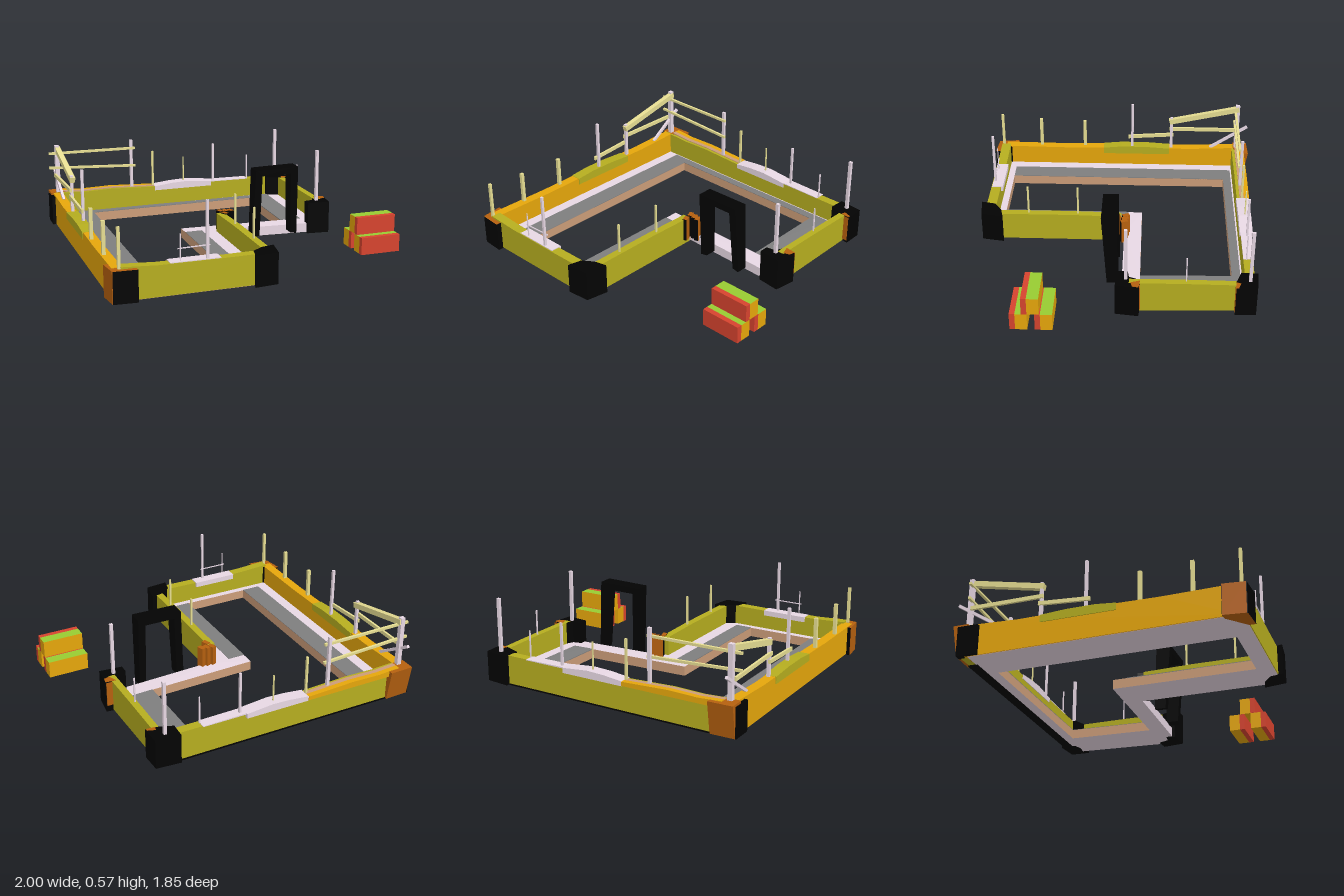
import * as THREE from 'three';

const mat = (name, color) => {
  const m = new THREE.MeshStandardMaterial({ color });
  m.name = name;
  return m;
};

export function createModel() {
  const root = new THREE.Group();
  root.name = 'houseFoundation';
  const olive = mat('olive', 0xb5ad1f), gold = mat('gold', 0xe5a60b), brown = mat('brown', 0xb5600f);
  const black = mat('black', 0x030303), pink = mat('paleStone', 0xe8d8e4), gray = mat('gray', 0x7e7e7e);
  const tan = mat('tan', 0xcb9c78), pale = mat('paleTimber', 0xe6dd92), red = mat('red', 0xd6432e);
  const green = mat('green', 0x97cb31);

  const add = (name, geo, material, parent = root) => {
    const mesh = new THREE.Mesh(geo, material);
    mesh.name = name;
    parent.add(mesh);
    return mesh;
  };
  // Box from its minimum and maximum corners
  const box = (name, m, x0, x1, y0, y1, z0, z1, parent = root) => {
    const g = new THREE.BoxGeometry(x1 - x0, y1 - y0, z1 - z0);
    g.translate((x0 + x1) / 2, (y0 + y1) / 2, (z0 + z1) / 2);
    return add(name, g, m, parent);
  };
  const shapeOf = pts => new THREE.Shape(pts.map(p => new THREE.Vector2(...p)));
  // Upright prism on a plan outline of [x, z] points
  const prism = (name, m, plan, y0, y1, hole) => {
    const flip = pts => pts.map(([x, z]) => [x, -z]);
    const s = shapeOf(flip(plan));
    if (hole) s.holes.push(shapeOf(flip(hole)));
    const g = new THREE.ExtrudeGeometry(s, { depth: y1 - y0, bevelEnabled: false });
    g.rotateX(-Math.PI / 2).translate(0, y0, 0);
    return add(name, g, m);
  };
  // Wall along x with an uneven top edge
  const wallX = (name, m, z0, z1, bottom, top) => {
    const s = shapeOf([[top[0][0], bottom], [top.at(-1)[0], bottom], ...[...top].reverse()]);
    return add(name, new THREE.ExtrudeGeometry(s, { depth: z1 - z0, bevelEnabled: false }).translate(0, 0, z0), m);
  };
  // Wall along z with an uneven top edge
  const wallZ = (name, m, x0, x1, bottom, top) => {
    const pts = top.map(([z, y]) => [-z, y]);
    const s = shapeOf([[pts[0][0], bottom], [pts.at(-1)[0], bottom], ...pts.reverse()]);
    const g = new THREE.ExtrudeGeometry(s, { depth: x1 - x0, bevelEnabled: false });
    return add(name, g.rotateY(Math.PI / 2).translate(x0, 0, 0), m);
  };
  // Square-section beam between two points
  const beam = (name, m, a, b, w, h = w) => {
    const A = new THREE.Vector3(...a), B = new THREE.Vector3(...b);
    const mesh = add(name, new THREE.BoxGeometry(w, h, A.distanceTo(B)), m);
    mesh.position.copy(A).add(B).multiplyScalar(0.5);
    mesh.lookAt(B);
    return mesh;
  };
  // Move every vertex of a part by a rule
  const bend = (mesh, rule) => {
    const p = mesh.geometry.attributes.position;
    for (let i = 0; i < p.count; i++) p.setXYZ(i, ...rule(p.getX(i), p.getY(i), p.getZ(i)));
    mesh.geometry.computeVertexNormals();
  };
  // The left-hand wing sags towards its front corner
  const clamp = THREE.MathUtils.clamp;
  const sag = mesh => bend(mesh, (x, y, z) =>
    [x, y > 0.15 ? y : y - 0.022 * clamp(x / 0.7, 0, 1) * clamp((z + 0.85) / 0.8, 0, 1), z]);

  // Footing ring
  sag(prism('footing', [pink, tan],
    [[-0.965, -0.82], [0.76, -0.82], [0.76, -0.055], [0.015, -0.055], [0.015, 0.88], [-0.965, 0.88]], 0.027, 0.09,
    [[-0.7, 0.775], [-0.235, 0.775], [-0.235, -0.165], [0.49, -0.165], [0.49, -0.745], [-0.7, -0.745]]));
  sag(box('footingFront', pink, 0, 0.76, 0.027, 0.09, -0.056, -0.05));
  for (const [x0, x1, z0, z1] of [[-0.83, -0.7, -0.8, 0.775], [0.49, 0.64, -0.8, -0.165],
    [-0.235, -0.12, -0.07, 0.775], [-0.7, 0.49, -0.8, -0.745]]) {
    sag(box('footingLedge', gray, x0, x1, 0.088, 0.093, z0, z1));
  }

  // Walls
  wallX('frontWall', olive, 0.82, 0.885, 0.03, [[-0.92, 0.235], [-0.7, 0.222], [-0.3, 0.22], [-0.05, 0.222]]);
  wallX('backWall', olive, -0.87, -0.81, 0.03,
    [[-0.95, 0.24], [-0.75, 0.23], [-0.55, 0.235], [-0.23, 0.222], [0, 0.235], [0.22, 0.222], [0.49, 0.22], [0.7, 0.22]]);
  box('backWallBase', black, -0.85, 0.66, 0.024, 0.032, -0.875, -0.81);
  wallX('backTopOuter', gold, -0.895, -0.86, 0.2, [[-0.9, 0.245], [-0.75, 0.235], [-0.55, 0.24], [-0.23, 0.226]]);
  wallX('backTopInner', tan, -0.86, -0.83, 0.2, [[-0.9, 0.245], [-0.75, 0.235], [-0.55, 0.24], [-0.23, 0.226]]);
  wallX('backTopStone', pink, -0.89, -0.805, 0.195, [[-0.23, 0.226], [-0.1, 0.24], [0.02, 0.245], [0.2, 0.228]]);
  wallX('backTopSlab', pink, -0.88, -0.81, 0.219, [[0.2, 0.228], [0.49, 0.224]]);
  wallZ('rightSideWall', gold, -0.97, -0.905, 0.03, [[-0.84, 0.24], [-0.5, 0.225], [-0.1, 0.228], [0.4, 0.22], [0.85, 0.225]]);
  wallZ('rightSideTop', olive, -0.975, -0.9, 0.18, [[-0.35, 0.227], [-0.18, 0.238], [0, 0.238], [0.13, 0.226]]);
  wallZ('innerLegWall', olive, -0.03, 0.02, 0.03, [[-0.03, 0.215], [0.3, 0.222], [0.84, 0.22]]);
  sag(wallZ('leftSideWall', olive, 0.72, 0.765, 0.03, [[-0.8, 0.22], [-0.45, 0.222], [-0.1, 0.22]]));
  box('frontSill', pink, -0.63, -0.32, 0.19, 0.226, 0.805, 0.88);

  // Corner blocks
  prism('frontRightCorner', [brown, black],
    [[-0.994, 0.765], [-0.95, 0.77], [-0.83, 0.88], [-0.83, 0.92], [-0.976, 0.91]], 0.025, 0.222);
  beam('frontRightCornerFace', brown, [-0.995, 0.124, 0.768], [-0.978, 0.124, 0.905], 0.004, 0.198);
  const lean = prism('backRightCorner', brown,
    [[-0.985, -0.92], [-0.825, -0.925], [-0.83, -0.86], [-0.9, -0.82], [-0.985, -0.82]], 0.03, 0.24);
  bend(lean, (x, y, z) => [x, y, z < -0.9 && y < 0.1 ? z + 0.035 : z]);
  box('backRightCornerFace', black, -0.992, -0.945, 0.03, 0.225, -0.885, -0.75);
  prism('frontLegCorner', black, [[-0.12, 0.92], [0.03, 0.905], [0.055, 0.76], [-0.03, 0.78], [-0.1, 0.83]], 0.025, 0.225);
  prism('backLeftCorner', black, [[0.64, -0.895], [0.8, -0.88], [0.805, -0.75], [0.73, -0.755], [0.635, -0.79]], 0.025, 0.222);
  box('backLeftQuoin', brown, 0.735, 0.8, 0.04, 0.215, -0.752, -0.748);
  prism('backLeftQuoinTop', brown, [[0.75, -0.782], [0.8, -0.765], [0.8, -0.75], [0.74, -0.754]], 0.22, 0.225);
  prism('wingCorner', black, [[0.64, -0.03], [0.79, -0.015], [0.81, -0.16], [0.73, -0.17], [0.7, -0.1], [0.64, -0.09]], 0.003, 0.22);
  box('wingQuoin', brown, 0.735, 0.805, 0.05, 0.215, -0.17, -0.164);
  prism('wingQuoinTop', brown, [[0.74, -0.168], [0.808, -0.16], [0.8, -0.12], [0.76, -0.11]], 0.218, 0.223);
  // Quoins beside the doorway, dark towards the front
  for (const [x, z] of [[0.005, -0.06], [0.042, -0.056], [0.076, -0.05], [0.018, 0]]) {
    const q = box('doorwayQuoin', [brown, black, brown, black, black, brown], -0.015, 0.015, 0.06, 0.222, -0.024, 0.024);
    q.position.set(x, 0, z);
    q.rotation.y = 0.35;
  }

  // Doorway frame, leaning forward and thicker at the top
  const arch = shapeOf([[0.2, 0.04], [0.25, 0.05], [0.257, 0.468], [0.46, 0.47], [0.475, 0.05], [0.52, 0.04],
    [0.51, 0.515], [0.21, 0.51]]);
  const door = add('doorFrame', new THREE.ExtrudeGeometry(arch, { depth: 1, bevelEnabled: false }), black);
  bend(door, (x, y, z) => [x, y, z > 0.5 ? 0.043 + 0.072 * y : -0.03 + 0.02 * y]);

  // Posts: x, z, top, width, material
  const posts = [[-0.93, -0.84, 0.575, 0.03, pink], [-0.395, -0.84, 0.575, 0.02, pink], [0.72, -0.84, 0.575, 0.02, pink],
    [0.72, -0.08, 0.575, 0.02, pink], [-0.4, 0.865, 0.575, 0.016, pink], [-0.92, -0.08, 0.575, 0.018, pink],
    [-0.93, -0.365, 0.47, 0.02, pink], [-0.235, -0.845, 0.48, 0.014, pale], [0, -0.85, 0.42, 0.008, pale],
    [0.23, -0.85, 0.5, 0.014, pink], [0.49, -0.83, 0.4, 0.008, pink], [0.735, -0.45, 0.39, 0.008, pink],
    [-0.93, 0.87, 0.47, 0.018, pale], [-0.95, 0.59, 0.43, 0.022, pale], [-0.95, 0.27, 0.42, 0.022, pale],
    [-0.005, 0.59, 0.42, 0.012, pale], [-0.005, 0.26, 0.42, 0.012, pale], [-0.565, 0.865, 0.39, 0.006, pink]];
  for (const [x, z, top, w, m] of posts) box('post', m, x - w / 2, x + w / 2, 0.1, top, z - w / 2, z + w / 2);

  // Fence rails
  beam('backTopRail', pale, [-0.99, 0.522, -0.825], [-0.37, 0.518, -0.825], 0.016);
  beam('backLowRail', pale, [-0.99, 0.42, -0.825], [-0.37, 0.39, -0.825], 0.016);
  beam('sideTopRail', pale, [-0.925, 0.55, -0.85], [-0.925, 0.44, -0.35], 0.035, 0.036);
  beam('sideMiddleRail', pale, [-0.95, 0.365, -0.83], [-0.94, 0.372, -0.35], 0.015, 0.025);
  beam('sideLowRail', pale, [-0.94, 0.325, -0.38], [-0.93, 0.308, -0.05], 0.015, 0.025);
  beam('sideBrace', pink, [-0.94, 0.4, -0.915], [-0.93, 0.23, -0.65], 0.018);
  beam('sillStick', pink, [-0.58, 0.3, 0.86], [-0.38, 0.302, 0.855], 0.006);

  // Stacked crates: red front panel, gold body, green top
  for (const [y, z] of [[0.033, 0.5], [0.033, 0.348], [0.147, 0.427]]) {
    const crate = new THREE.Group();
    crate.name = 'crate';
    root.add(crate);
    box('crateBody', [gold, gold, green, gold, gold, gold], 0.73, 1, y, y + 0.113, z, z + 0.073, crate);
    box('cratePanel', [red, red, red, red, red, gold], 0.73, 1, y, y + 0.113, z + 0.073, z + 0.107, crate);
  }
  return root;
}
